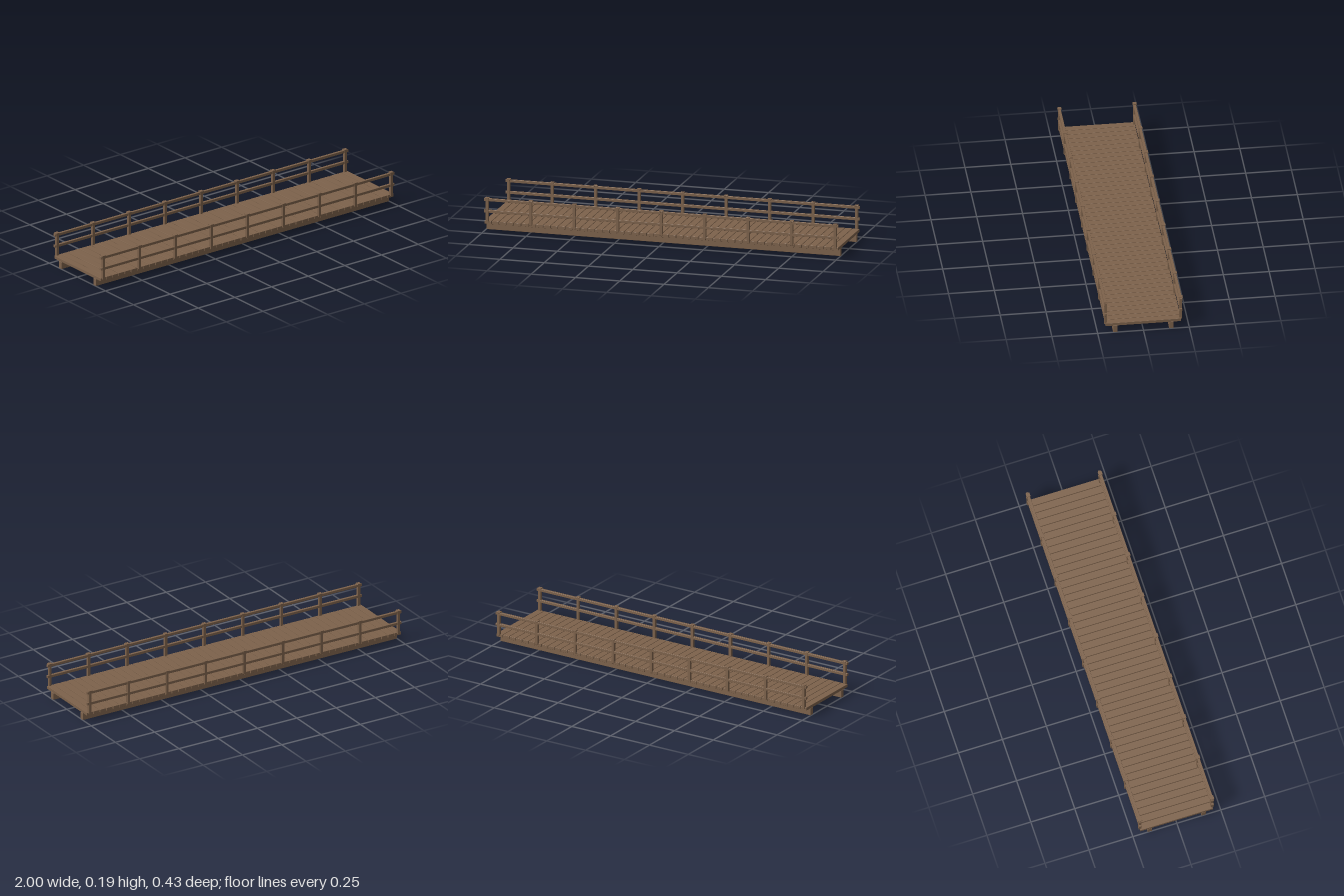
import * as THREE from 'three';
import { RoundedBoxGeometry } from 'three/addons/geometries/RoundedBoxGeometry.js';

const PLANKS = 48;
const POSTS = 9;
const POST_SPACING = 0.2455;

export function createModel() {
  const bridge = new THREE.Group();
  bridge.name = 'footbridge';
  const wood = new THREE.MeshStandardMaterial({ color: 0x7d624b });
  wood.name = 'brown wood';

  // A timber with slightly eased edges; y is its underside
  const timber = (parent, name, [w, h, d], [x, y, z], ease = 0.0015) => {
    const mesh = new THREE.Mesh(new RoundedBoxGeometry(w, h, d, 1, ease), wood);
    mesh.name = name;
    mesh.position.set(x, y + h / 2, z);
    parent.add(mesh);
  };

  // Deck planks with narrow open gaps
  const deck = new THREE.Group();
  deck.name = 'deck';
  const pitch = 2 / PLANKS;
  for (let i = 0; i < PLANKS; i++) {
    timber(deck, 'plank', [pitch - 0.003, 0.017, 0.412], [-1 + pitch * (i + 0.5), 0.041, 0], 0.001);
  }
  bridge.add(deck);

  for (const side of [1, -1]) {
    // Long beam below the deck
    timber(bridge, side > 0 ? 'frontBeam' : 'backBeam', [2, 0.041, 0.025], [0, 0, side * 0.153], 0.002);

    // Railing: two rails, posts and post caps
    const railing = new THREE.Group();
    railing.name = side > 0 ? 'frontRailing' : 'backRailing';
    const z = side * 0.205;
    timber(railing, 'topRail', [2, 0.015, 0.0145], [0, 0.17, z]);
    timber(railing, 'middleRail', [2, 0.015, 0.0145], [0, 0.1055, z]);
    for (let i = 0; i < POSTS; i++) {
      const x = (i - (POSTS - 1) / 2) * POST_SPACING;
      timber(railing, 'post', [0.016, 0.134, 0.016], [x, 0.05, z]);
      timber(railing, 'postCap', [0.022, 0.007, 0.022], [x, 0.183, z], 0.001);
    }
    bridge.add(railing);
  }
  return bridge;
}
